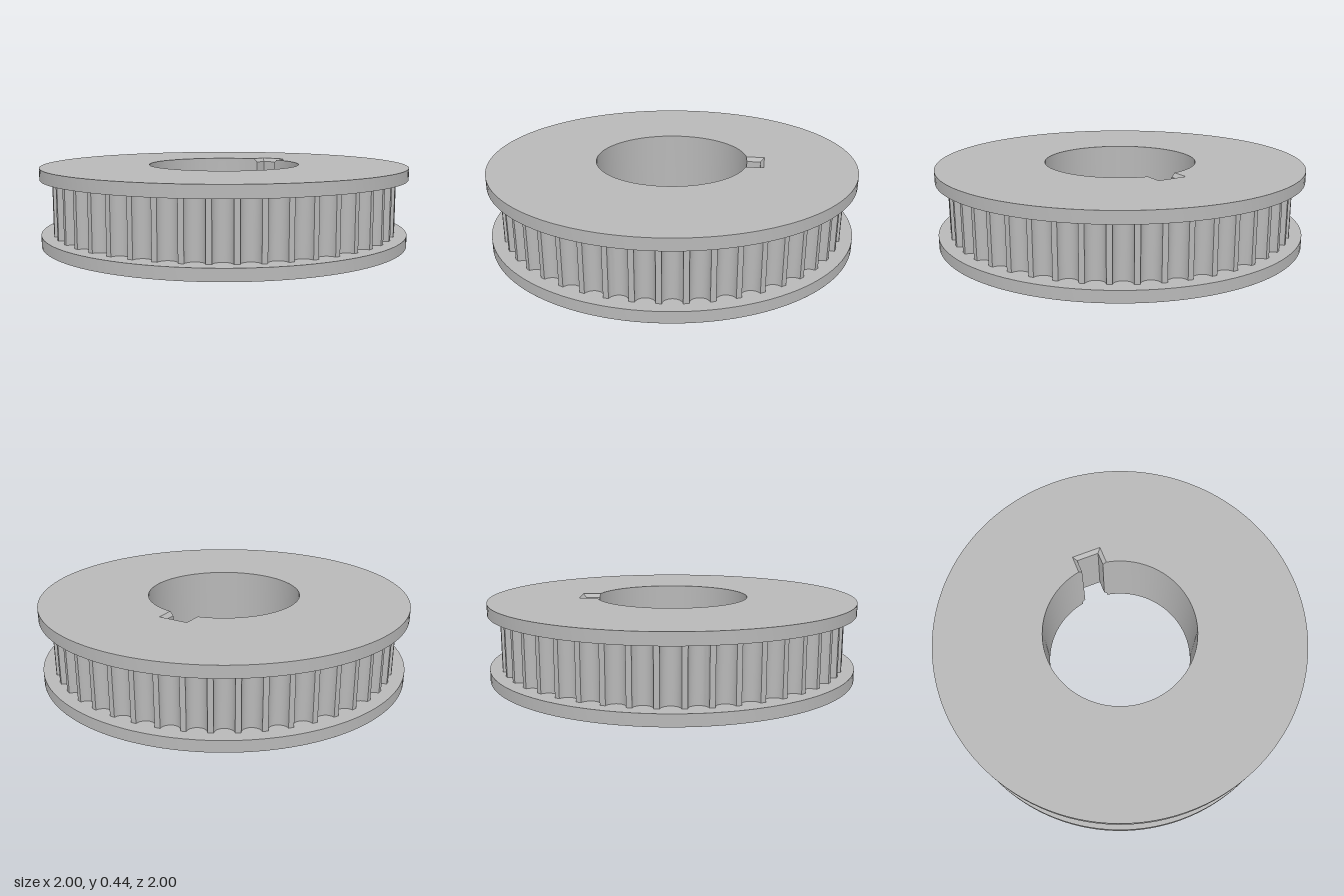
import * as THREE from 'three';
import { toCreasedNormals } from 'three/addons/utils/BufferGeometryUtils.js';

const TOP = 0.438, UPPER = 0.376, LOWER = 0.082, BASE = 0.022;
const BORE = 0.415, TEETH = 48, SEGMENTS = 128;

// Joins closed outlines of [x, z] points at given heights with quads
function loft(sections) {
  const positions = [], index = [];
  const n = sections[0].points.length;
  for (const { y, points } of sections) for (const [x, z] of points) positions.push(x, y, z);
  for (let k = 0; k < sections.length - 1; k++) {
    for (let i = 0; i < n; i++) {
      const a = k * n + i, b = k * n + (i + 1) % n;
      index.push(a, b, b + n, a, b + n, a + n);
    }
  }
  const geometry = new THREE.BufferGeometry();
  geometry.setAttribute('position', new THREE.Float32BufferAttribute(positions, 3));
  geometry.setIndex(index);
  return toCreasedNormals(geometry, 0.6);
}

function lathe(profile, start = 0, length = Math.PI * 2) {
  const points = profile.map(([r, y]) => new THREE.Vector2(r, y));
  return toCreasedNormals(new THREE.LatheGeometry(points, SEGMENTS, start, length), 0.5);
}

// Round bore with a rectangular keyway at the back
function boreOutline(halfWidth, depth) {
  const a = Math.asin(halfWidth / BORE), points = [];
  for (let i = 0; i <= 96; i++) {
    const phi = Math.PI + a + (i / 96) * (2 * Math.PI - 2 * a);
    points.push([BORE * Math.sin(phi), BORE * Math.cos(phi)]);
  }
  points.push([halfWidth, -depth], [-halfWidth, -depth]);
  return points;
}

// Narrow lands separated by round grooves, one groove centred at the front
function toothOutline() {
  const points = [], pitch = 2 * Math.PI / TEETH, half = pitch * 0.39, steps = 12;
  for (let t = 0; t < TEETH; t++) {
    for (let i = 0; i <= steps; i++) {
      const s = Math.PI * i / steps;
      const phi = t * pitch - half * Math.cos(s);
      const r = 0.936 - 0.045 * Math.sin(s);
      points.push([r * Math.sin(phi), r * Math.cos(phi)]);
    }
  }
  return points;
}

// Flat disc face with the keyed hole; side is 1 for up, -1 for down
function faceGeometry(outline, side) {
  const shape = new THREE.Shape();
  shape.absarc(0, 0, 1, 0, Math.PI * 2, false);
  shape.holes.push(new THREE.Path(outline.map(([x, z]) => new THREE.Vector2(x, -side * z))));
  return new THREE.ShapeGeometry(shape, SEGMENTS).rotateX(-side * Math.PI / 2);
}

export function createModel() {
  const group = new THREE.Group();
  const steel = new THREE.MeshStandardMaterial({ color: 0xb8b8b8, side: THREE.DoubleSide });
  steel.name = 'steel grey';
  const add = (name, geometry, y = 0) => {
    const mesh = new THREE.Mesh(geometry, steel);
    mesh.name = name;
    mesh.position.y = y;
    group.add(mesh);
  };

  // Flange rims with their inward-facing rings
  add('upperFlangeRim', lathe([[0.85, UPPER], [1, UPPER], [1, TOP]]));
  add('lowerFlangeRim', lathe([[1, BASE], [1, LOWER], [0.85, LOWER]]));

  // Toothed belt track
  const teeth = toothOutline();
  add('toothedTrack', loft([{ y: LOWER, points: teeth }, { y: UPPER, points: teeth }]));

  // Outer faces and bore; the keyway is chamfered at both ends
  const wide = boreOutline(0.082, 0.505), narrow = boreOutline(0.062, 0.485);
  add('topFace', faceGeometry(wide, 1), TOP);
  add('bottomFace', faceGeometry(wide, -1), BASE);
  add('keyedBore', loft([
    { y: TOP, points: wide },
    { y: TOP - 0.02, points: narrow },
    { y: BASE + 0.02, points: narrow },
    { y: BASE, points: wide },
  ]));

  // Tapered hub lip below, cut by the keyway
  const lip = [[BORE, BASE], [BORE, 0], [0.437, 0], [0.458, BASE]];
  const cut = Math.asin(0.082 / 0.43);
  add('hubLip', lathe(lip, Math.PI + cut, 2 * Math.PI - 2 * cut));
  for (const side of [1, -1]) {
    const end = new THREE.ShapeGeometry(new THREE.Shape(lip.map(([r, y]) => new THREE.Vector2(r, y))));
    add('hubLipEnd', end.rotateY(Math.PI / 2 + side * cut));
  }
  return group;
}
